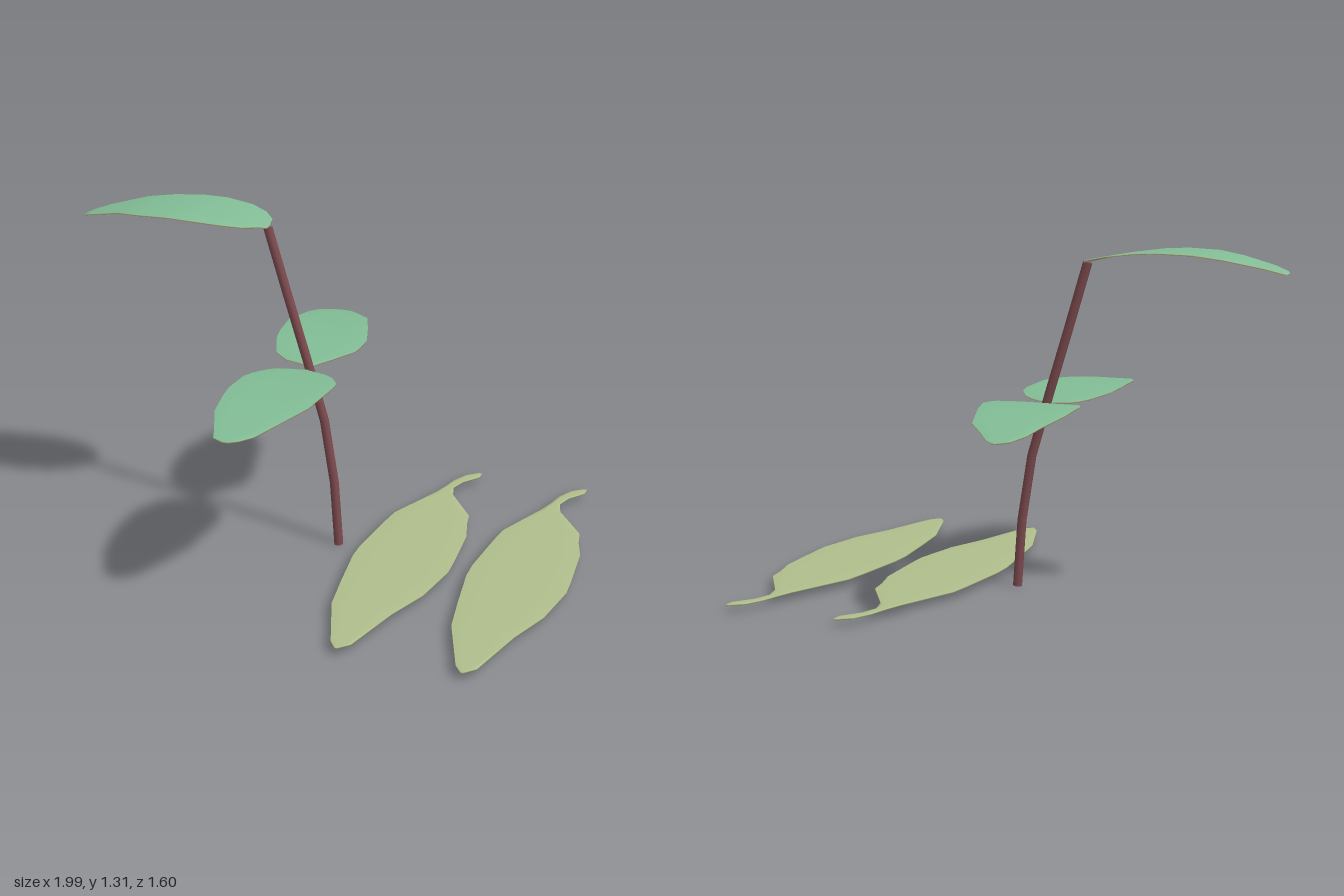
import * as THREE from 'three';

const COLUMNS = 4;
const THICKNESS = 0.005;
const material = (name, color) => Object.assign(new THREE.MeshStandardMaterial({ color }), { name });

// Thin closed leaf lofted along +z from stations [z, xLow, xHigh], arched by height(z)
function leaf(name, stations, height, upper, lower) {
  const n = 2 * (COLUMNS + 1), pos = [], top = [], under = [];
  for (const [z, lo, hi] of stations)
    for (let k = 0; k < n; k++) {
      const onTop = k <= COLUMNS;
      const j = onTop ? k : n - 1 - k;
      pos.push(lo + (hi - lo) * j / COLUMNS, height(z) + (onTop ? 0.5 : -0.5) * THICKNESS, z);
    }
  // Upper face, lower face and rim
  const last = (stations.length - 1) * n;
  for (let i = 0; i < last; i += n)
    for (let k = 0; k < n; k++) {
      const a = i + k, b = i + (k + 1) % n, c = a + n, d = b + n;
      (k < COLUMNS ? top : under).push(a, c, b, b, c, d);
    }
  // Stalk end and tip
  for (let j = 0; j < COLUMNS; j++) {
    const a = j, b = j + 1, c = n - 2 - j, d = n - 1 - j;
    under.push(a, b, c, a, c, d);
    under.push(last + a, last + c, last + b, last + a, last + d, last + c);
  }
  const geo = new THREE.BufferGeometry();
  geo.setAttribute('position', new THREE.Float32BufferAttribute(pos, 3));
  geo.setIndex([...top, ...under]);
  geo.addGroup(0, top.length, 0);
  geo.addGroup(top.length, under.length, 1);
  geo.computeVertexNormals();
  const mesh = new THREE.Mesh(geo, [upper, lower]);
  mesh.name = name;
  return mesh;
}

const arch = (peak, center, k) => s => peak - k * (s - center) ** 2;

export function createModel() {
  const model = new THREE.Group();
  model.name = 'leafySprig';
  const green = material('leafGreen', 0x82bd96);
  const olive = material('leafOlive', 0xb0be8c);
  const brown = material('stemBrown', 0x7c4a4e);

  // Bent stem with closed ends
  const path = new THREE.CatmullRomCurve3([
    [0.05, 0], [0.032, 0.25], [-0.011, 0.515], [-0.124, 0.885], [-0.236, 1.253],
  ].map(([x, y]) => new THREE.Vector3(x, y, -0.012)));
  const radius = 0.0175;
  const stem = new THREE.Group();
  stem.name = 'stem';
  const tube = new THREE.Mesh(new THREE.TubeGeometry(path, 5, radius, 10), brown);
  tube.name = 'stemTube';
  stem.add(tube);
  for (const t of [0, 1]) {
    const cap = new THREE.Mesh(new THREE.CircleGeometry(radius, 10), brown);
    cap.name = t ? 'stemTopCap' : 'stemBottomCap';
    cap.position.copy(path.getPointAt(t));
    const out = path.getTangentAt(t).multiplyScalar(t ? 1 : -1);
    cap.quaternion.setFromUnitVectors(new THREE.Vector3(0, 0, 1), out);
    stem.add(cap);
  }
  model.add(stem);

  // Three green leaves, each drawn along +z and turned into place
  const front = leaf('frontLeaf', [
    [0, -0.08, -0.07], [0.015, -0.09, -0.065], [0.03, -0.15, -0.02], [0.05, -0.18, 0.02],
    [0.085, -0.205, 0.06], [0.15, -0.23, 0.1], [0.21, -0.245, 0.108], [0.35, -0.24, 0.108],
    [0.435, -0.227, 0.105], [0.565, -0.2, 0.065], [0.7, -0.14, 0.01], [0.74, -0.125, -0.03],
    [0.757, -0.085, -0.06],
  ], arch(0.746, 0.38, 0.22), green, olive);

  const back = leaf('backLeaf', [
    [0, 0.07, 0.08], [0.035, 0.065, 0.095], [0.055, 0.05, 0.185], [0.1, 0.01, 0.245],
    [0.185, -0.05, 0.28], [0.225, -0.055, 0.295], [0.3, -0.055, 0.31], [0.435, -0.01, 0.33],
    [0.61, 0.055, 0.312], [0.69, 0.125, 0.3], [0.75, 0.175, 0.265], [0.77, 0.205, 0.23],
  ], arch(0.75, 0.35, 0.31), green, olive);
  back.rotation.y = Math.PI;

  const top = leaf('topLeaf', [
    [0.235, -0.025, 0], [0.255, -0.1, 0.02], [0.3, -0.15, 0.085], [0.37, -0.183, 0.13],
    [0.48, -0.195, 0.16], [0.57, -0.187, 0.163], [0.69, -0.17, 0.155], [0.8, -0.155, 0.105],
    [0.93, -0.1, 0.06], [0.985, -0.07, 0.025], [1, -0.04, -0.01],
  ], arch(1.302, 0.58, 0.396), green, olive);
  top.rotation.y = -Math.PI / 2;
  model.add(front, back, top);

  // Pair of flat loose leaves with curled stalks
  const flat = [
    [-0.8, 0.385, 0.4], [-0.76, 0.34, 0.4], [-0.69, 0.31, 0.35], [-0.62, 0.295, 0.33],
    [-0.55, 0.275, 0.35], [-0.38, 0.21, 0.47], [-0.3, 0.18, 0.485], [-0.2, 0.17, 0.515],
    [0.03, 0.155, 0.535], [0.12, 0.158, 0.54], [0.33, 0.19, 0.51], [0.505, 0.22, 0.45],
    [0.76, 0.315, 0.39], [0.8, 0.345, 0.355],
  ];
  ['innerFlatLeaf', 'outerFlatLeaf'].forEach((name, i) => {
    const loose = leaf(name, flat, () => 0.028, olive, olive);
    loose.position.x = 0.453 * i;
    model.add(loose);
  });

  return model;
}
